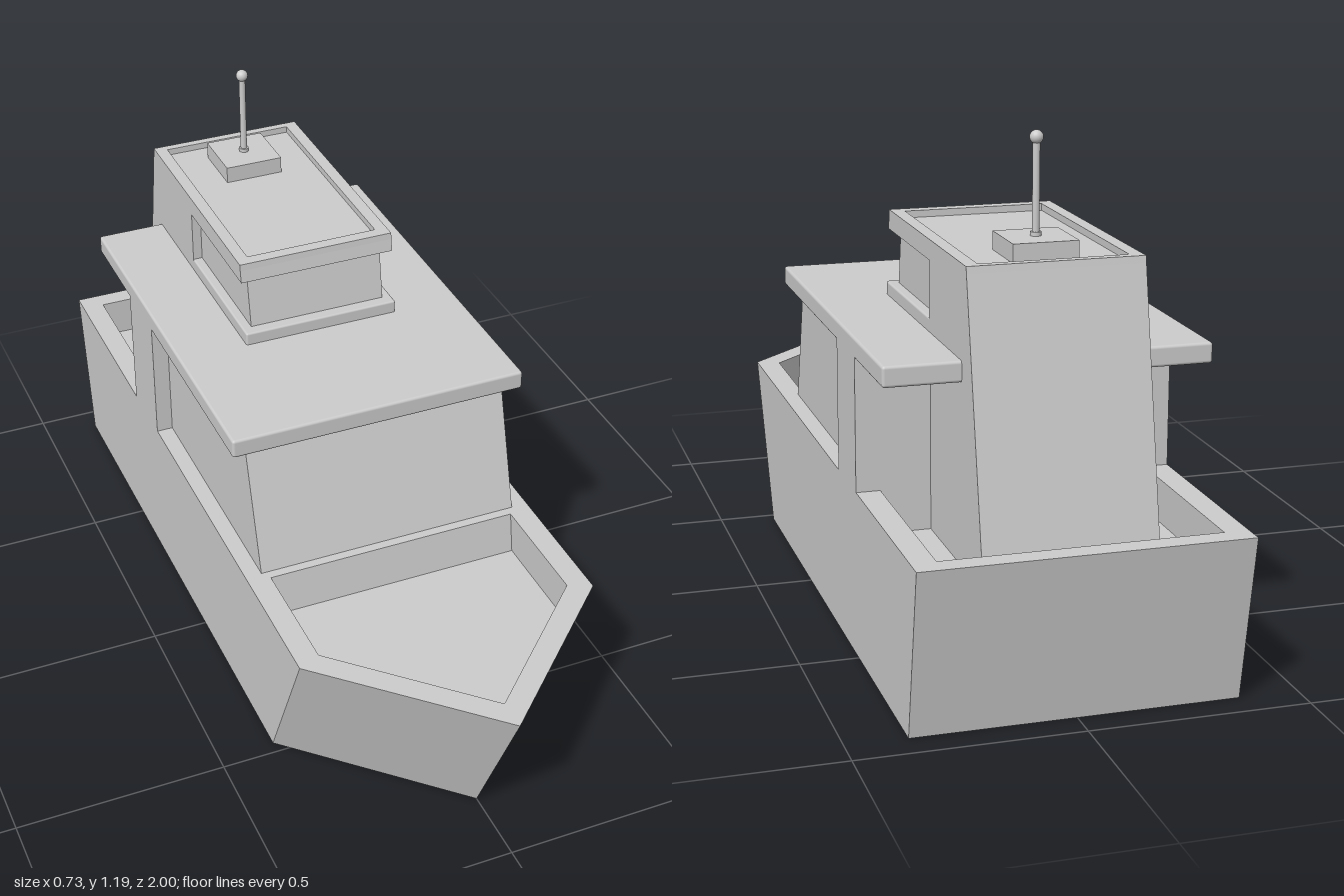
import * as THREE from 'three';
import { RoundedBoxGeometry } from 'three/addons/geometries/RoundedBoxGeometry.js';

const grey = new THREE.MeshStandardMaterial({ color: 0xcccccc });

function add(group, name, geometry, x = 0, y = 0, z = 0) {
  const mesh = new THREE.Mesh(geometry, grey);
  mesh.name = name;
  mesh.position.set(x, y, z);
  group.add(mesh);
  return mesh;
}

// Plan outline of [x, z] points extruded from y0 up to y1, with optional holes.
function planPrism(outline, holes, y0, y1) {
  const pts = (list) => list.map(([x, z]) => new THREE.Vector2(x, -z));
  const shape = new THREE.Shape(pts(outline));
  holes.forEach((h) => shape.holes.push(new THREE.Path(pts(h))));
  const g = new THREE.ExtrudeGeometry(shape, { depth: y1 - y0, bevelEnabled: false });
  return g.rotateX(-Math.PI / 2).translate(0, y0, 0);
}

// Side profile of [z, y] points extruded symmetrically across x.
function sidePrism(profile, halfWidth) {
  const shape = new THREE.Shape(profile.map(([z, y]) => new THREE.Vector2(-z, y)));
  const g = new THREE.ExtrudeGeometry(shape, { depth: halfWidth * 2, bevelEnabled: false });
  return g.translate(0, 0, -halfWidth).rotateY(Math.PI / 2);
}

// Moves every vertex in z by a rule, then rebuilds the flat normals.
function shiftZ(g, rule) {
  const p = g.attributes.position;
  for (let i = 0; i < p.count; i++) {
    p.setZ(i, p.getZ(i) + rule(p.getX(i), p.getY(i), p.getZ(i)));
  }
  g.computeVertexNormals();
  return g;
}

function roundedSlab(halfWidth, y0, y1, zBack, zFront, radius = 0.007) {
  const g = new RoundedBoxGeometry(halfWidth * 2, y1 - y0, zFront - zBack, 2, radius);
  return g.translate(0, (y0 + y1) / 2, (zBack + zFront) / 2);
}

export function createModel() {
  const boat = new THREE.Group();
  boat.name = 'boat';
  const deckY = 0.285, gunwaleY = 0.385;

  // Hull: raked bow and stern, with recessed fore and aft decks
  const outline = [[-0.365, -1], [-0.365, 0.65], [0, 1], [0.365, 0.65], [0.365, -1]];
  const foreDeck = [[-0.31, 0.335], [-0.31, 0.625], [0, 0.925], [0.31, 0.625], [0.31, 0.335]];
  const aftDeck = [[-0.31, -0.95], [-0.31, -0.49], [0.31, -0.49], [0.31, -0.95]];
  const rake = (x, y, z) => {
    const outer = Math.abs(x) > 0.36 || z > 0.99;
    return outer ? (1 - y / gunwaleY) * (z > 0 ? -0.18 : 0.068) : 0;
  };
  const hull = new THREE.Group();
  hull.name = 'hull';
  boat.add(hull);
  add(hull, 'lowerHull', shiftZ(planPrism(outline, [], 0, deckY), rake));
  add(hull, 'bulwark', shiftZ(planPrism(outline, [foreDeck, aftDeck], deckY, gunwaleY), rake));
  // Sloping step at the back of the fore deck
  add(hull, 'foreDeckStep', sidePrism([[0.33, deckY], [0.33, gunwaleY], [0.335, gunwaleY], [0.352, deckY]], 0.31));

  // Main cabin, rear bulkhead and overhanging roof
  add(boat, 'cabin', sidePrism([[0.312, gunwaleY], [-0.34, gunwaleY], [-0.34, 0.7], [0.222, 0.7]].reverse(), 0.325));
  add(boat, 'cabinRearWall', new THREE.BoxGeometry(0.73, 0.315, 0.17), 0, 0.5425, -0.405);
  add(boat, 'cabinRoof', roundedSlab(0.365, 0.688, 0.735, -0.735, 0.255));

  // Tower with a sloping back
  add(boat, 'tower', sidePrism([[-0.48, deckY], [-0.895, deckY], [-0.768, 0.925], [-0.48, 0.925]].reverse(), 0.195));

  // Wheelhouse in front of the tower
  add(boat, 'wheelhouseSill', roundedSlab(0.195, 0.73, 0.766, -0.5, -0.103, 0.005));
  add(boat, 'wheelhouseWindows', sidePrism([[-0.13, 0.76], [-0.5, 0.76], [-0.5, 0.9], [-0.153, 0.9]].reverse(), 0.172));
  add(boat, 'wheelhouseRoof', sidePrism([[-0.128, 0.895], [-0.49, 0.895], [-0.49, 0.925], [-0.133, 0.925]].reverse(), 0.195));

  // Low lip around the wheelhouse roof
  const lipOuter = [[-0.195, -0.765], [-0.195, -0.135], [0.195, -0.135], [0.195, -0.765]];
  const lipInner = [[-0.165, -0.745], [-0.165, -0.165], [0.165, -0.165], [0.165, -0.745]];
  add(boat, 'roofLip', shiftZ(planPrism(lipOuter, [lipInner], 0.925, 0.941), (x, y, z) => {
    if (Math.abs(x) < 0.19 || y > 0.93) return 0;
    return z < -0.5 ? -0.003 : 0.002;
  }));

  // Antenna
  const antenna = new THREE.Group();
  antenna.name = 'antenna';
  antenna.position.z = -0.622;
  boat.add(antenna);
  add(antenna, 'antennaBase', new THREE.BoxGeometry(0.146, 0.042, 0.146), 0, 0.945, 0);
  add(antenna, 'antennaCollar', new THREE.CylinderGeometry(0.012, 0.012, 0.01, 16), 0, 0.97, 0);
  add(antenna, 'antennaMast', new THREE.CylinderGeometry(0.008, 0.008, 0.21, 16), 0, 1.07, 0);
  add(antenna, 'antennaBall', new THREE.SphereGeometry(0.015, 20, 14), 0, 1.176, 0);

  return boat;
}
